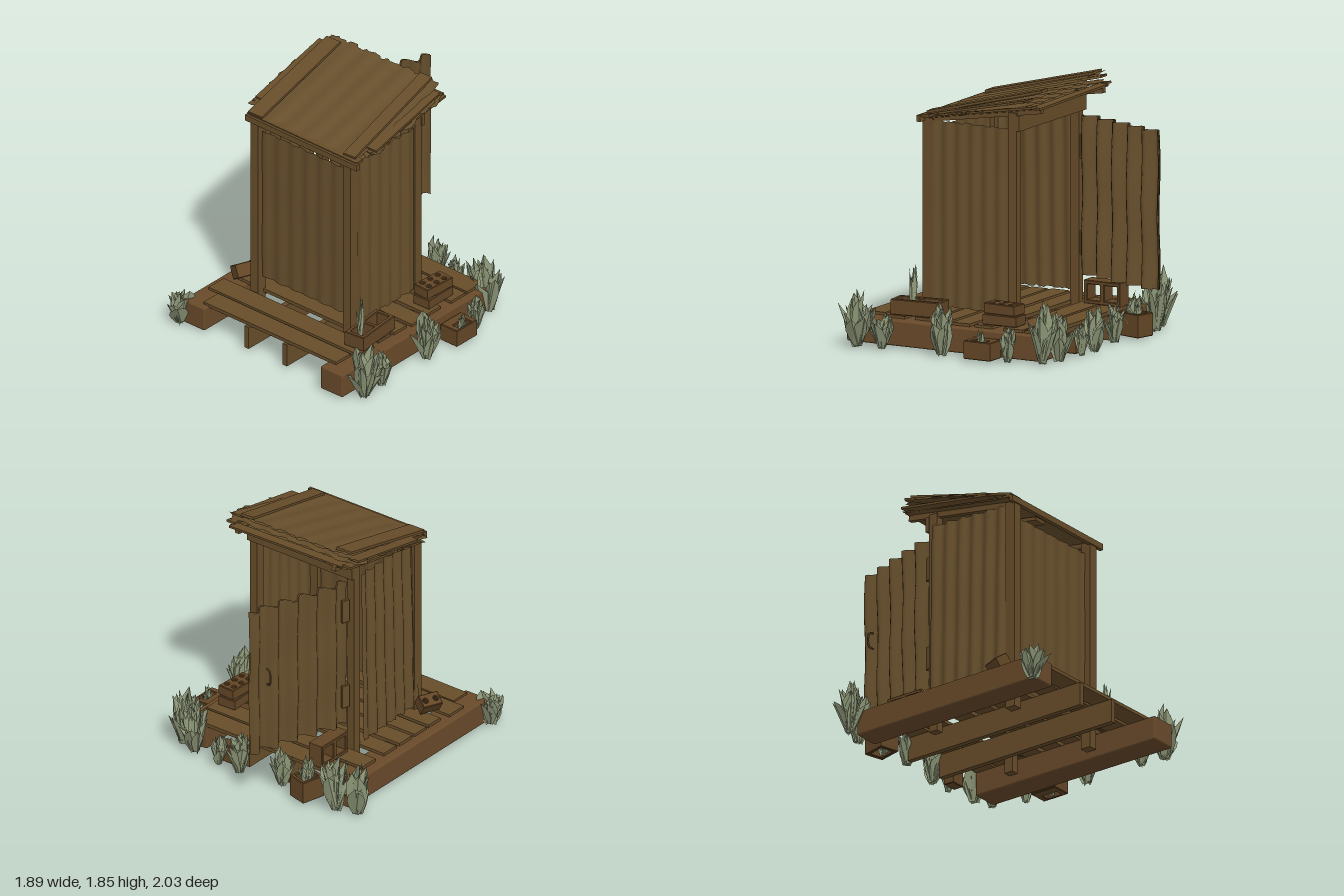
import * as THREE from 'three';
import { mergeGeometries } from 'three/addons/utils/BufferGeometryUtils.js';
import { RoundedBoxGeometry } from 'three/addons/geometries/RoundedBoxGeometry.js';

let seed = 7;
const rand = () => (seed = (seed * 16807) % 2147483647) / 2147483647;
const jitter = (a) => (rand() - 0.5) * 2 * a;
const V = (x, y, z) => new THREE.Vector3(x, y, z);

const wood = new THREE.MeshStandardMaterial({ color: 0x674d2a, flatShading: true });
const logWood = new THREE.MeshStandardMaterial({ color: 0x694a2a });
const sheetMetal = new THREE.MeshStandardMaterial({ color: 0x674f2c, side: THREE.DoubleSide });
const brick = new THREE.MeshStandardMaterial({ color: 0x634626, flatShading: true });
const leaf = new THREE.MeshStandardMaterial({ color: 0x959f7e, flatShading: true, side: THREE.DoubleSide });

function add(parent, name, geometry, material, x = 0, y = 0, z = 0) {
  const m = new THREE.Mesh(geometry, material);
  m.name = name;
  m.position.set(x, y, z);
  parent.add(m);
  return m;
}

// Straight board between two points, w across and h thick
function beam(parent, name, a, b, w, h) {
  const m = add(parent, name, new THREE.BoxGeometry(w, h, a.distanceTo(b)), wood);
  m.position.copy(a).add(b).multiplyScalar(0.5);
  m.lookAt(b);
  return m;
}

// Corrugated sheet with worn, uneven edges
function sheet(w, h, waves, amp, ragX, ragY) {
  const nx = waves * 8, ny = 14;
  const g = new THREE.PlaneGeometry(w, h, nx, ny);
  const p = g.attributes.position;
  for (let i = 0; i < p.count; i++) {
    const u = i % (nx + 1), v = Math.floor(i / (nx + 1));
    const x = p.getX(i), y = p.getY(i);
    p.setZ(i, amp * Math.sin((u / nx) * waves * Math.PI * 2) + amp * 0.15 * Math.sin(y * 9 + x * 5));
    if (u === 0 || u === nx) p.setX(i, x + jitter(ragX));
    if (v === 0 || v === ny) p.setY(i, y + jitter(ragY));
  }
  g.computeVertexNormals();
  return g;
}

// Masonry block with vertical holes given as [x, z, halfWidth, halfDepth], or [x, z, radius] for round ones
function block(parent, name, w, d, h, holes, x, y, z, turn = 0) {
  const rect = (Type, cx, cy, a, b) => new Type([[-a, -b], [a, -b], [a, b], [-a, b]]
    .map(([i, j]) => new THREE.Vector2(cx + i, cy + j)));
  const s = rect(THREE.Shape, 0, 0, w / 2, d / 2);
  holes.forEach(([hx, hz, a, b]) => {
    if (b) s.holes.push(rect(THREE.Path, hx, hz, a, b));
    else s.holes.push(new THREE.Path().absarc(hx, hz, a, 0, Math.PI * 2, true));
  });
  const bevel = 0.005;
  const g = new THREE.ExtrudeGeometry(s, { depth: h - 2 * bevel, bevelSize: bevel, bevelThickness: bevel,
    bevelOffset: -bevel, bevelSegments: 1, curveSegments: 5 });
  g.rotateX(-Math.PI / 2).translate(0, bevel, 0);
  const m = add(parent, name, g, brick, x, y, z);
  m.rotation.y = turn;
  return m;
}

// Clump of broad folded blades: tall and upright inside, short and splayed outside
function grass(parent, x, z, r, h, y = 0.015, count = 20) {
  const blades = [];
  for (let k = 0; k < count; k++) {
    const g = new THREE.PlaneGeometry(1, 1, 2, 4);
    const p = g.attributes.position;
    const spread = 0.1 + 0.9 * rand();
    const reach = r * spread, tall = h * (1.05 - 0.45 * spread + jitter(0.12));
    const wide = Math.min(r * 0.7, 0.09) * (0.7 + 0.6 * rand());
    const lean = jitter(0.5), twist = jitter(0.5);
    for (let i = 0; i < p.count; i++) {
      const u = p.getX(i), t = p.getY(i) + 0.5;
      const width = wide * (0.6 + 1.6 * t) * (1 - t ** 2.5);
      p.setXYZ(i, u * width + lean * t * r, tall * t + u * width * twist,
        reach * (0.25 + 0.75 * t) - Math.abs(u) * width * 0.6 + u * width * twist);
    }
    blades.push(g.rotateY(k * 2.4 + jitter(0.5)));
  }
  add(parent, 'grassClump', mergeGeometries(blades), leaf, x, y, z);
}

export function createModel() {
  seed = 7;
  const root = new THREE.Group();
  const part = (name) => {
    const g = new THREE.Group();
    g.name = name;
    root.add(g);
    return g;
  };

  // Platform: heavy side timbers, thin joists and deck planks
  const base = part('platform');
  for (const [x, z, len, turn] of [[-0.67, 0.15, 1.55, 0], [0.62, 0.19, 1.55, 0.01]]) {
    add(base, 'sideTimber', new RoundedBoxGeometry(0.2, 0.18, len, 2, 0.014), logWood, x, 0.108, z).rotation.y = turn;
  }
  for (const x of [-0.205, 0.145]) beam(base, 'joist', V(x, 0.105, -0.6), V(x, 0.105, 0.9), 0.04, 0.17);
  const planks = [[0.8, 0.15, -0.62, 0.6], [0.63, 0.16, -0.72, 0.65], [0.41, 0.13, -0.7, 0.63], [0.255, 0.13, -0.7, 0.64],
    [0.09, 0.14, -0.7, 0.66], [-0.085, 0.14, -0.7, 0.65], [-0.32, 0.15, -0.7, 0.66], [-0.5, 0.16, -0.7, 0.66]];
  for (const [z, w, x0, x1] of planks) {
    beam(base, 'deckPlank', V(x0, 0.205 + jitter(0.004), z), V(x1, 0.205, z + jitter(0.008)), w, 0.026);
  }

  // Frame: posts, cross rails and rafters
  const frame = part('frame');
  for (const x of [-0.455, 0.392]) {
    beam(frame, 'frontPost', V(x, 0.02, 0.495), V(x, 1.58, 0.495), 0.07, 0.08);
    beam(frame, 'backPost', V(x, 0.03, -0.18), V(x, 1.68, -0.18), 0.06, 0.07);
    beam(frame, 'sideRafter', V(x, 1.57, 0.5), V(x, 1.715, -0.4), 0.035, 0.045);
  }
  beam(frame, 'frontRail', V(-0.53, 1.585, 0.53), V(0.49, 1.58, 0.53), 0.03, 0.045);
  beam(frame, 'backRail', V(-0.49, 1.61, -0.225), V(0.43, 1.61, -0.225), 0.03, 0.11);
  beam(frame, 'middleRafter', V(-0.13, 1.57, 0.48), V(-0.13, 1.69, -0.25), 0.1, 0.025);

  // Corrugated walls, the left one leaning slightly outward at the foot
  const walls = part('walls');
  add(walls, 'frontWall', sheet(0.78, 1.17, 6, 0.006, 0, 0.003), sheetMetal, -0.03, 0.912, 0.49);
  const right = add(walls, 'rightWall', sheet(0.64, 1.3, 6, 0.008, 0, 0.006), sheetMetal, 0.415, 0.915, 0.16);
  right.rotation.y = Math.PI / 2;
  const left = add(walls, 'leftWall', sheet(0.66, 1.3, 6, 0.012, 0, 0.006), sheetMetal, -0.505, 0.92, 0.16);
  left.rotation.set(0, -Math.PI / 2 + 0.06, -0.02, 'ZYX');

  // Door standing open at the back: two skins of corrugated sheet, hinges and handle
  const door = part('door');
  door.position.set(-0.44, 0, -0.24);
  door.rotation.y = Math.atan2(0.75, 0.26);
  for (const z of [-0.007, 0.007]) add(door, 'doorSkin', sheet(0.79, 1.12, 5, 0.038, 0, 0.002), sheetMetal, 0.4, 0.97, z);
  for (const y of [0.625, 1.3]) add(door, 'hinge', new THREE.BoxGeometry(0.06, 0.17, 0.02), wood, 0.01, y, 0);
  const grip = new THREE.CatmullRomCurve3([V(0, -0.06, 0), V(0, -0.05, -0.035), V(0, 0.05, -0.035), V(0, 0.06, 0)]);
  add(door, 'handle', new THREE.TubeGeometry(grip, 12, 0.008, 6), wood, 0.67, 1.0, -0.03);

  // Roof: fanned worn sheets held down by boards; the wider, torn sheets sit back from the eave
  const roof = part('roof');
  for (const [w, len, y, z, slope, rag] of [[0.99, 0.9, 1.72, 0.06, 0.25, 0.008], [1.1, 0.76, 1.705, 0.03, 0.225, 0.035],
    [1.1, 0.78, 1.685, 0.03, 0.195, 0.035], [1.0, 0.93, 1.655, 0.06, 0.165, 0.015]]) {
    add(roof, 'roofSheet', sheet(w, len, 6, 0.006, rag, 0.012), sheetMetal, -0.045, y, z).rotation.x = slope - Math.PI / 2;
  }
  beam(roof, 'roofBoard', V(-0.46, 1.62, 0.52), V(-0.485, 1.83, -0.33), 0.125, 0.018);
  beam(roof, 'roofBoard', V(0.385, 1.62, 0.5), V(0.32, 1.84, -0.38), 0.1, 0.018);
  for (const x of [-0.55, 0.465]) {
    beam(roof, 'sideSlat', V(x, 1.64, 0.36), V(x - 0.02, 1.785, -0.33), 0.09, 0.016);
    beam(roof, 'sideSlat', V(x - 0.02, 1.62, 0.38), V(x, 1.745, -0.38), 0.07, 0.016);
  }
  beam(roof, 'frontSlat', V(-0.53, 1.605, 0.49), V(0.47, 1.6, 0.49), 0.07, 0.018);
  beam(roof, 'backSlat', V(-0.52, 1.735, -0.36), V(0.45, 1.73, -0.38), 0.07, 0.016);

  // Loose masonry on the deck and on the ground
  const blocks = part('blocks');
  const six = [];
  for (const x of [-0.03, 0.03]) for (const z of [-0.075, 0, 0.075]) six.push([x, z, 0.016]);
  const pair = (a, b, off) => [[0, -off, a, b], [0, off, a, b]];
  block(blocks, 'hollowBlock', 0.16, 0.37, 0.11, pair(0.05, 0.07, 0.085), 0.555, 0.22, 0.48, 0.1);
  block(blocks, 'lowerBrick', 0.14, 0.26, 0.075, six, 0.55, 0.218, -0.19, 0.03);
  block(blocks, 'upperBrick', 0.13, 0.25, 0.075, six, 0.55, 0.294, -0.19, -0.06);
  const leaning = block(blocks, 'leaningBrick', 0.1, 0.15, 0.1, [[0, -0.04, 0.017], [0, 0.04, 0.017]], -0.57, 0.26, 0.49, -0.4);
  leaning.rotation.z = 0.6;
  const standing = block(blocks, 'standingBlock', 0.165, 0.29, 0.12, pair(0.055, 0.05, 0.068), -0.37, 0.3, -0.43);
  standing.rotation.z = Math.PI / 2;
  block(blocks, 'groundBlock', 0.15, 0.21, 0.13, [[0.03, 0, 0.03, 0.06]], 0.805, 0.02, -0.165);
  block(blocks, 'groundBlock', 0.15, 0.18, 0.165, [[0, 0, 0.05, 0.06]], -0.43, 0.02, -0.67, -0.25);
  block(blocks, 'groundBlock', 0.11, 0.08, 0.14, [], 0.295, 0.02, -0.605);

  // Grass around the platform and through the blocks
  const plants = part('grass');
  const clumps = [[-0.84, -0.63, 0.12, 0.36], [-0.69, -0.68, 0.13, 0.42], [-0.79, 0.92, 0.13, 0.24], [-0.42, -0.66, 0.08, 0.3],
    [-0.19, -0.64, 0.1, 0.27], [0.15, -0.68, 0.11, 0.3], [0.33, -0.68, 0.07, 0.23], [0.57, -0.64, 0.12, 0.36],
    [0.71, -0.59, 0.12, 0.42], [0.79, -0.36, 0.08, 0.23], [0.83, -0.165, 0.045, 0.2], [0.8, 0.17, 0.12, 0.35],
    [0.8, 0.64, 0.1, 0.26], [0.81, 0.83, 0.14, 0.4]];
  clumps.forEach((c) => grass(plants, ...c));
  grass(plants, 0.53, 0.55, 0.05, 0.38, 0.2, 6);
  return root;
}
